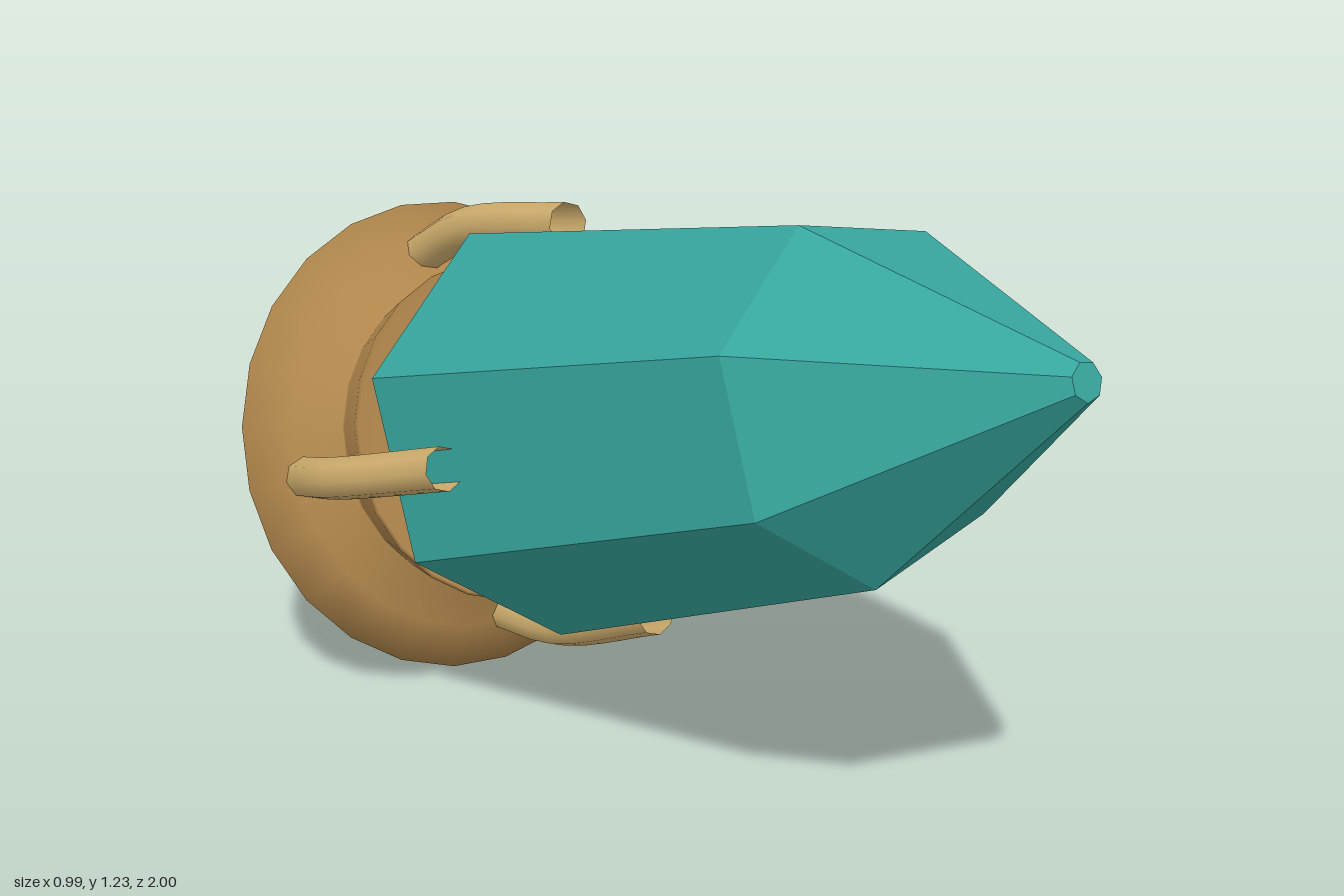
import * as THREE from 'three';

const v2 = (pts) => pts.map(([r, s]) => new THREE.Vector2(r, s));

export function createModel() {
  const crystalTeal = new THREE.MeshStandardMaterial({ color: 0x38a8a0 });
  const bronze = new THREE.MeshStandardMaterial({ color: 0xb0864c });
  const paleGold = new THREE.MeshStandardMaterial({ color: 0xd4b270, side: THREE.DoubleSide });

  // Everything is built upright along y, then the whole piece is tipped forward
  const model = new THREE.Group();
  const jewel = new THREE.Group();
  jewel.name = 'tiltedJewel';
  jewel.rotation.x = THREE.MathUtils.degToRad(70);
  jewel.position.set(0, 0.44, -0.85);
  model.add(jewel);

  // Seven-sided crystal with flat facets
  let facets = new THREE.LatheGeometry(
    v2([[0, 0.25], [0.27, 0.25], [0.42, 0.465], [0.322, 1.445], [0.033, 1.96], [0, 1.96]]),
    7, Math.PI / 2
  ).toNonIndexed();
  facets.computeVertexNormals();
  const crystal = new THREE.Mesh(facets, crystalTeal);
  crystal.name = 'crystal';
  jewel.add(crystal);

  // Turned base: flat foot, wide rim, narrow waist and flared lip
  const base = new THREE.Mesh(new THREE.LatheGeometry(
    v2([[0, 0], [0.40, 0], [0.43, 0.002], [0.495, 0.075], [0.41, 0.125], [0.322, 0.177],
      [0.325, 0.19], [0.352, 0.283], [0.345, 0.285], [0.3, 0.28], [0, 0.28]]), 24
  ), bronze);
  base.name = 'base';
  jewel.add(base);

  // Four bent prongs gripping the crystal
  const path = new THREE.CatmullRomCurve3([
    new THREE.Vector3(0.385, 0.11, 0),
    new THREE.Vector3(0.42, 0.31, 0),
    new THREE.Vector3(0.388, 0.672, 0)
  ]);
  const prongShape = new THREE.TubeGeometry(path, 8, 0.043, 8, false);
  for (let i = 0; i < 4; i++) {
    const prong = new THREE.Mesh(prongShape, paleGold);
    prong.name = 'prong' + (i + 1);
    prong.rotation.y = i * Math.PI / 2;
    jewel.add(prong);
  }

  return model;
}
